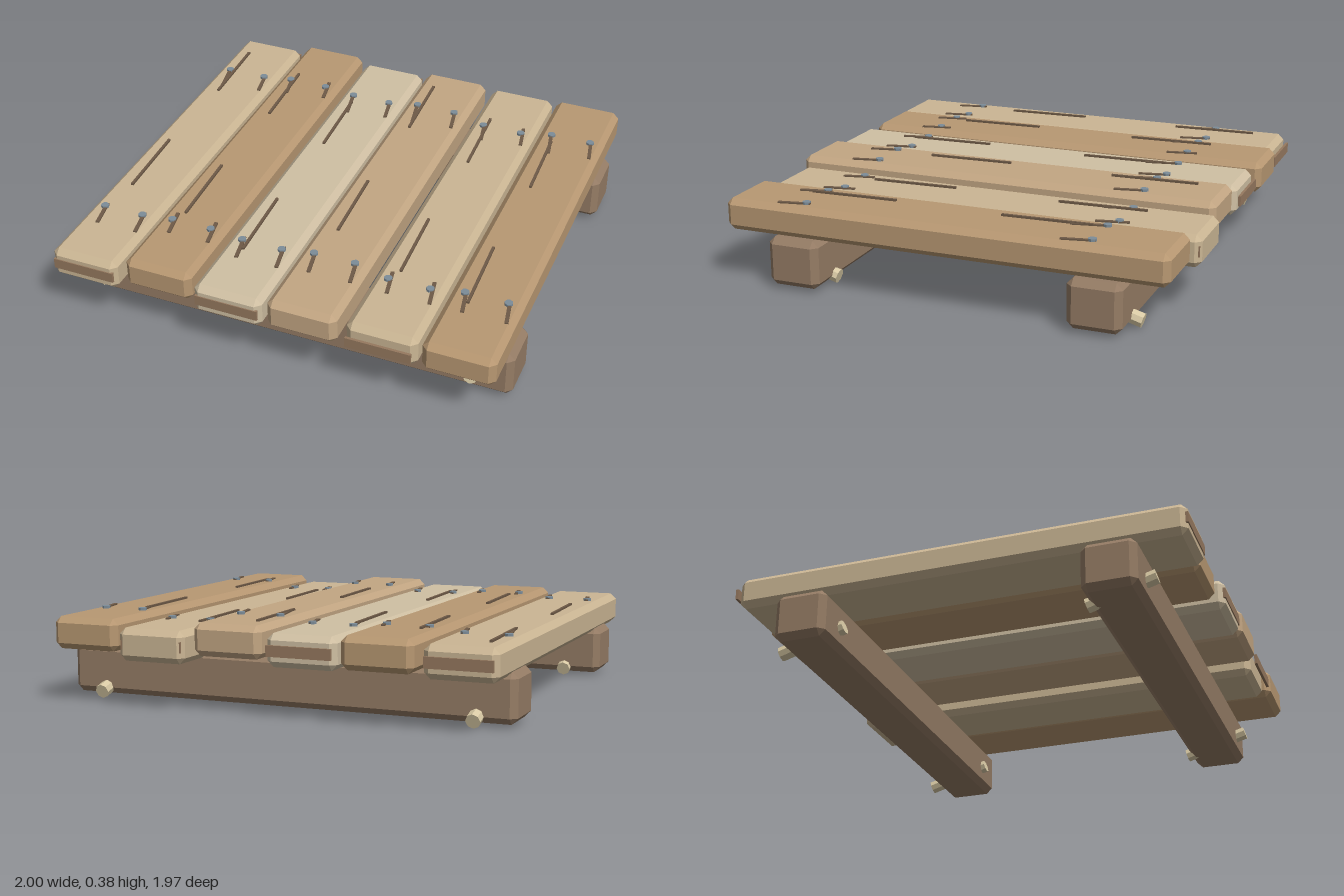
import * as THREE from 'three';
import { ConvexGeometry } from 'three/addons/geometries/ConvexGeometry.js';

const material = (color) => new THREE.MeshStandardMaterial({ color, flatShading: true });

// Box with a flat chamfer of size b along every edge
function chamferedBox(w, h, d, b) {
  const x = w / 2, y = h / 2, z = d / 2, points = [];
  for (const sx of [-1, 1]) for (const sy of [-1, 1]) for (const sz of [-1, 1]) {
    points.push(
      new THREE.Vector3(sx * x, sy * (y - b), sz * (z - b)),
      new THREE.Vector3(sx * (x - b), sy * y, sz * (z - b)),
      new THREE.Vector3(sx * (x - b), sy * (y - b), sz * z));
  }
  return new ConvexGeometry(points);
}

export function createModel() {
  const model = new THREE.Group();
  model.name = 'plankPlatform';

  const add = (name, geometry, mat, x, y, z) => {
    const mesh = new THREE.Mesh(geometry, mat);
    mesh.name = name;
    mesh.position.set(x, y, z);
    model.add(mesh);
    return mesh;
  };

  const beamMat = material(0x957c65);
  const pegMat = material(0xd8c9a4);
  const nailMat = material(0x7c8c98);
  const grainMat = material(0x6e5a47);
  const endMat = material(0x96795f);

  // Two cross beams, each pierced by a pair of tilted pegs
  const beamGeo = chamferedBox(2, 0.21, 0.23, 0.027);
  const pegGeo = new THREE.CylinderGeometry(0.031, 0.031, 0.3, 8);
  for (const side of [-1, 1]) {
    add('crossBeam', beamGeo, beamMat, 0, 0.127, side * 0.66);
    for (const x of [-0.837, 0.837]) {
      add('peg', pegGeo, pegMat, x, 0.079, side * 0.672).rotation.x = Math.PI / 2 - 0.28;
    }
  }

  // Planks: top height, z shift, colour, worn end grain
  const planks = [
    { top: 0.352, shift: 0.008, color: 0xcbb694, worn: true },
    { top: 0.37, shift: -0.022, color: 0xb89872 },
    { top: 0.356, shift: 0.008, color: 0xd0c0a3, worn: true },
    { top: 0.38, shift: 0.013, color: 0xc3a683 },
    { top: 0.345, shift: -0.02, color: 0xcbb694, worn: true },
    { top: 0.373, shift: 0.01, color: 0xb89872 },
  ];
  const plankGeo = chamferedBox(0.305, 0.138, 1.935, 0.026);
  const endGeo = new THREE.BoxGeometry(0.28, 0.046, 0.012);
  const grainGeo = new THREE.BoxGeometry(0.012, 0.012, 0.385);
  const scratchGeo = new THREE.BoxGeometry(0.016, 0.01, 0.14);
  const nailGeo = new THREE.CylinderGeometry(0.018, 0.018, 0.016, 8);

  planks.forEach(({ top, shift, color, worn }, i) => {
    const x = (i - 2.5) * 0.332;
    add('plank', plankGeo, material(color), x, top - 0.069, shift);

    // Grain lines, stepping along z from plank to plank
    for (const z of [-0.625, 0.24]) {
      add('grainLine', grainGeo, grainMat, x - 0.07, top + 0.003, z + 0.122 * (i % 3))
        .rotation.y = 0.04;
    }

    // Nails with a short split in the wood beside each
    for (const nailZ of [-0.63, 0.62]) for (const dx of [-0.092, 0.092]) {
      add('nail', nailGeo, nailMat, x + dx, top + 0.003, nailZ);
      const splitZ = nailZ < 0 ? (dx < 0 ? -0.56 : -0.585) : 0.66;
      add('nailSplit', scratchGeo, grainMat, x + dx + 0.014, top + 0.001, splitZ + shift)
        .rotation.y = 0.19;
    }

    // Dark strips at both ends of the worn planks
    if (worn) for (const side of [-1, 1]) {
      add('endGrain', endGeo, endMat, x, top - 0.067, side * 0.974);
    }
  });

  return model;
}
